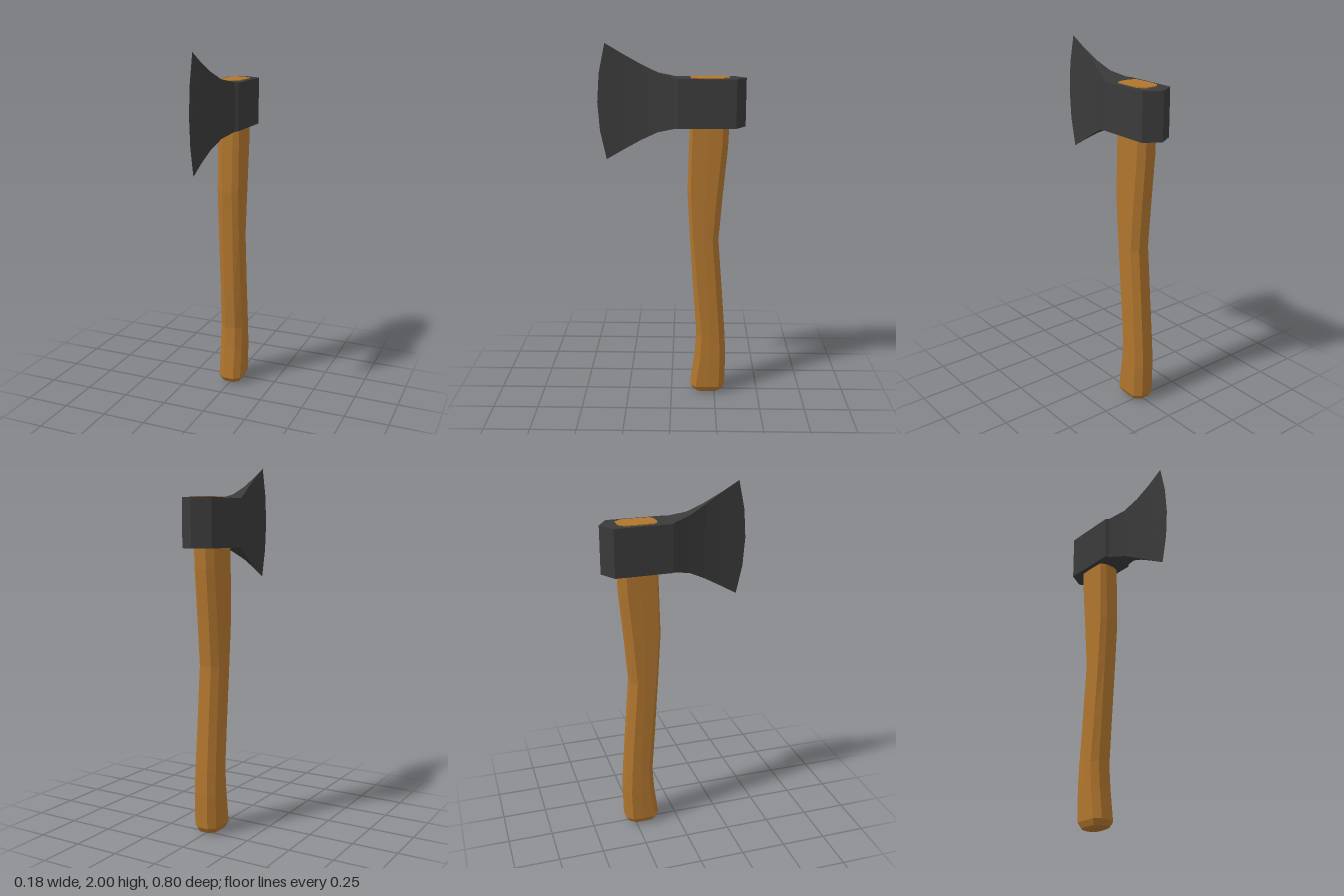
import * as THREE from 'three';

// Skin a list of equal-length rings of [x, y, z]; optionally close both ends.
function loft(rings, capped) {
  const pos = [];
  const n = rings[0].length;
  const tri = (a, b, c) => pos.push(...a, ...b, ...c);
  for (let k = 0; k < rings.length - 1; k++) {
    const lo = rings[k], hi = rings[k + 1];
    for (let i = 0; i < n; i++) {
      const j = (i + 1) % n;
      tri(lo[i], lo[j], hi[j]);
      tri(lo[i], hi[j], hi[i]);
    }
  }
  if (capped) {
    const first = rings[0], last = rings[rings.length - 1];
    for (let i = 1; i < n - 1; i++) {
      tri(first[0], first[i + 1], first[i]);
      tri(last[0], last[i], last[i + 1]);
    }
  }
  const geo = new THREE.BufferGeometry();
  geo.setAttribute('position', new THREE.Float32BufferAttribute(pos, 3));
  geo.computeVertexNormals();
  return geo;
}

function part(name, geometry, color) {
  const material = new THREE.MeshStandardMaterial({ color, flatShading: true });
  const mesh = new THREE.Mesh(geometry, material);
  mesh.name = name;
  return mesh;
}

// Steel head: sections from poll to cutting edge
function headGeometry() {
  // z, half width, bottom, top, forward bulge
  const stations = [
    [-0.4, 0, 1.56, 1.82, 0],
    [-0.345, 0.09, 1.56, 1.82, 0],
    [-0.034, 0.09, 1.56, 1.82, 0],
    [-0.02, 0.072, 1.557, 1.822, 0],
    [0.075, 0.037, 1.532, 1.845, 0],
    [0.165, 0.015, 1.487, 1.89, 0],
    [0.26, 0.004, 1.433, 1.944, 0],
    [0.355, 0, 1.378, 2.0, 0.045],
  ];
  const rows = [-1, -0.5, 0, 0.5, 1];
  return loft(stations.map(([z, w, bottom, top, bulge]) => {
    const side = (s) => rows.map((t) => [
      s * w,
      (bottom + top) / 2 + t * (top - bottom) / 2,
      z + bulge * (1 - t * t),
    ]);
    return [...side(1), ...side(-1).reverse()];
  }), false);
}

// Wooden handle: curved, with chamfered corners
function handleGeometry() {
  // y, front z, back z, half width, front chamfer depth
  const stations = [
    [0.005, -0.155, -0.265, 0.04, 0.02],
    [0.015, -0.13, -0.288, 0.056, 0.025],
    [0.045, -0.112, -0.308, 0.07, 0.03],
    [0.23, -0.136, -0.312, 0.07, 0.03],
    [0.36, -0.144, -0.306, 0.068, 0.03],
    [0.6, -0.126, -0.288, 0.065, 0.026],
    [0.93, -0.104, -0.262, 0.064, 0.02],
    [1.2, -0.088, -0.283, 0.065, 0.018],
    [1.45, -0.095, -0.306, 0.065, 0.016],
    [1.56, -0.099, -0.31, 0.065, 0.016],
    [1.825, -0.1, -0.31, 0.065, 0.016],
  ];
  return loft(stations.map(([y, front, back, w, chamfer]) => {
    const side = (s) => [
      [s * w * 0.46, y, front],
      [s * w * 0.96, y, front - chamfer],
      [s * w, y, (front + back) / 2],
      [s * w * 0.96, y, back + 0.033],
      [s * w * 0.46, y, back],
    ];
    return [...side(1), ...side(-1).reverse()];
  }), true);
}

export function createModel() {
  const axe = new THREE.Group();
  axe.name = 'axe';
  axe.add(part('head', headGeometry(), 0x3a3a3a));
  axe.add(part('handle', handleGeometry(), 0xb0752e));
  return axe;
}
